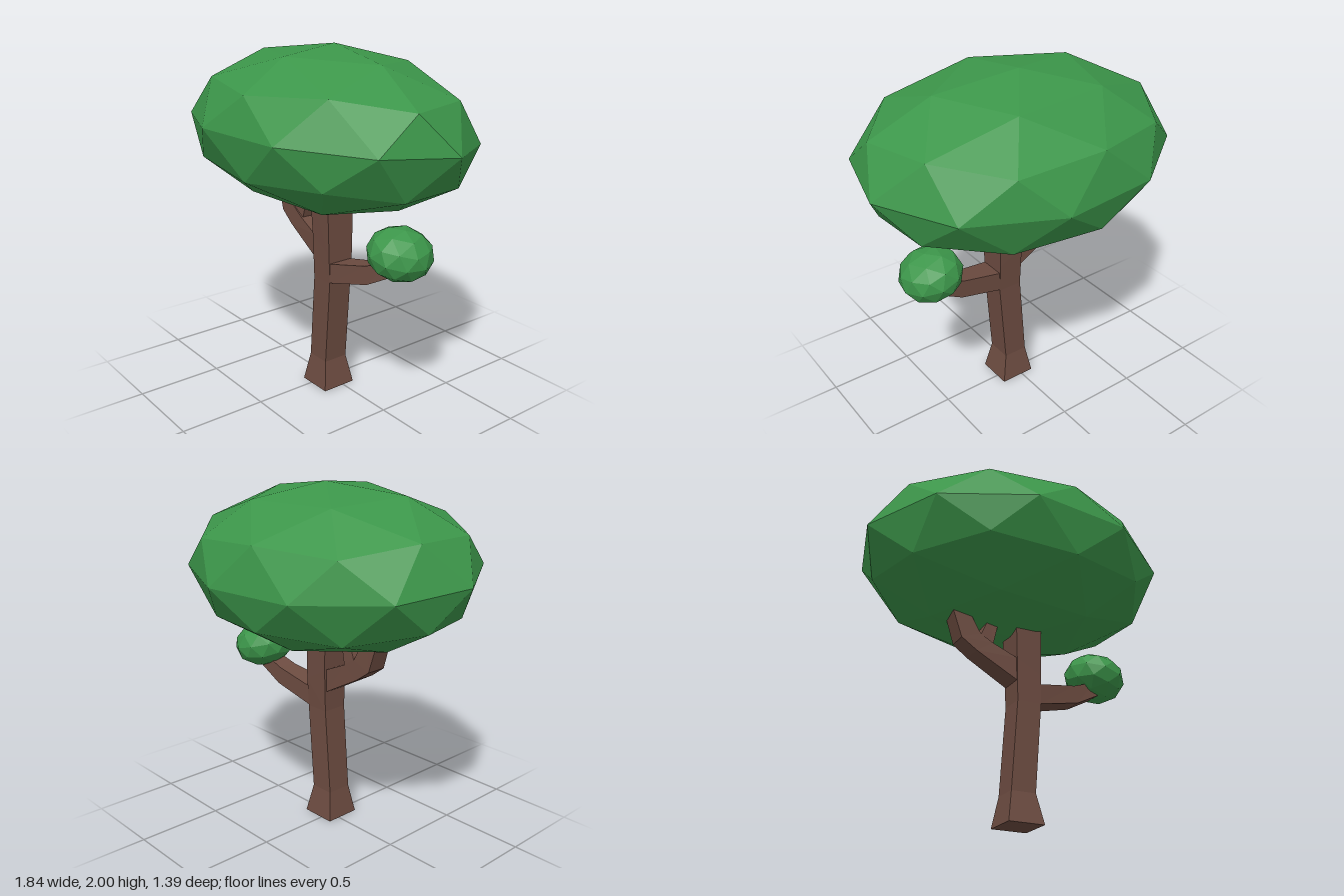
import * as THREE from 'three';

const bark = new THREE.MeshStandardMaterial({ color: 0x6d4c41, flatShading: true });
bark.name = 'bark brown';
const leaf = new THREE.MeshStandardMaterial({ color: 0x3c964a, flatShading: true });
leaf.name = 'leaf green';

// Four-sided limb through sections [ax, ay, bx, by, zBack, zFront];
// a lies to the left of the growing direction, b to the right.
function limb(name, sections) {
  const rings = sections.map(([ax, ay, bx, by, z0, z1]) => [
    [ax, ay, z0], [bx, by, z0], [bx, by, z1], [ax, ay, z1],
  ]);
  const pos = [];
  const quad = (a, b, c, d) => pos.push(...a, ...b, ...c, ...a, ...c, ...d);
  for (let s = 0; s < rings.length - 1; s++) {
    const lo = rings[s], hi = rings[s + 1];
    for (let i = 0; i < 4; i++) {
      const j = (i + 1) % 4;
      quad(lo[i], hi[i], hi[j], lo[j]);
    }
  }
  const end = rings[rings.length - 1];
  quad(...rings[0]);
  quad(end[3], end[2], end[1], end[0]);
  const geo = new THREE.BufferGeometry();
  geo.setAttribute('position', new THREE.Float32BufferAttribute(pos, 3));
  geo.computeVertexNormals();
  const mesh = new THREE.Mesh(geo, bark);
  mesh.name = name;
  return mesh;
}

// Faceted ellipsoid with a vertex at its pole
function foliage(name, radii, centre, tilt) {
  const geo = new THREE.IcosahedronGeometry(1, 1);
  geo.rotateZ(Math.atan2(2, 1 + Math.sqrt(5)));
  geo.rotateY(THREE.MathUtils.degToRad(25));
  geo.scale(...radii);
  geo.computeVertexNormals();
  const mesh = new THREE.Mesh(geo, leaf);
  mesh.name = name;
  mesh.position.set(...centre);
  mesh.rotation.set(...tilt);
  return mesh;
}

export function createModel() {
  const tree = new THREE.Group();
  tree.name = 'tree';

  // Trunk with flared foot
  tree.add(limb('trunk', [
    [-0.075, 0, 0.135, 0, -0.075, 0.135],
    [-0.045, 0.17, 0.1, 0.17, -0.045, 0.105],
    [-0.005, 0.68, 0.14, 0.68, -0.045, 0.105],
    [-0.01, 0.93, 0.14, 0.85, -0.055, 0.11],
    [-0.02, 1.2, 0.14, 1.2, -0.06, 0.12],
  ]));

  // Low branch carrying the small tuft
  tree.add(limb('leftBranch', [
    [0.1, 0.79, 0.1, 0.67, -0.045, 0.105],
    [0.14, 0.8, 0.14, 0.685, -0.045, 0.105],
    [0.39, 0.855, 0.405, 0.75, -0.055, 0.06],
    [0.55, 0.92, 0.58, 0.845, -0.06, 0.03],
  ]));

  // Forked branch under the canopy
  tree.add(limb('rightBranch', [
    [0.03, 0.785, 0.03, 0.92, -0.04, 0.1],
    [-0.005, 0.8, -0.005, 0.935, -0.04, 0.1],
    [-0.25, 0.935, -0.15, 1.0, -0.035, 0.09],
    [-0.34, 1.0, -0.225, 1.045, -0.035, 0.085],
    [-0.41, 1.22, -0.32, 1.22, -0.03, 0.075],
  ]));
  tree.add(limb('rightBranchFork', [
    [-0.24, 0.97, -0.15, 0.99, -0.03, 0.08],
    [-0.22, 1.045, -0.145, 1.0, -0.03, 0.08],
    [-0.16, 1.18, -0.1, 1.18, -0.02, 0.07],
  ]));

  // Leaves
  tree.add(foliage('canopy', [0.927, 0.457, 0.712], [0, 1.545, 0], [-0.08, 0, 0]));
  tree.add(foliage('smallTuft', [0.18, 0.142, 0.183], [0.577, 0.965, -0.022], [0, 0, -0.25]));

  return tree;
}
